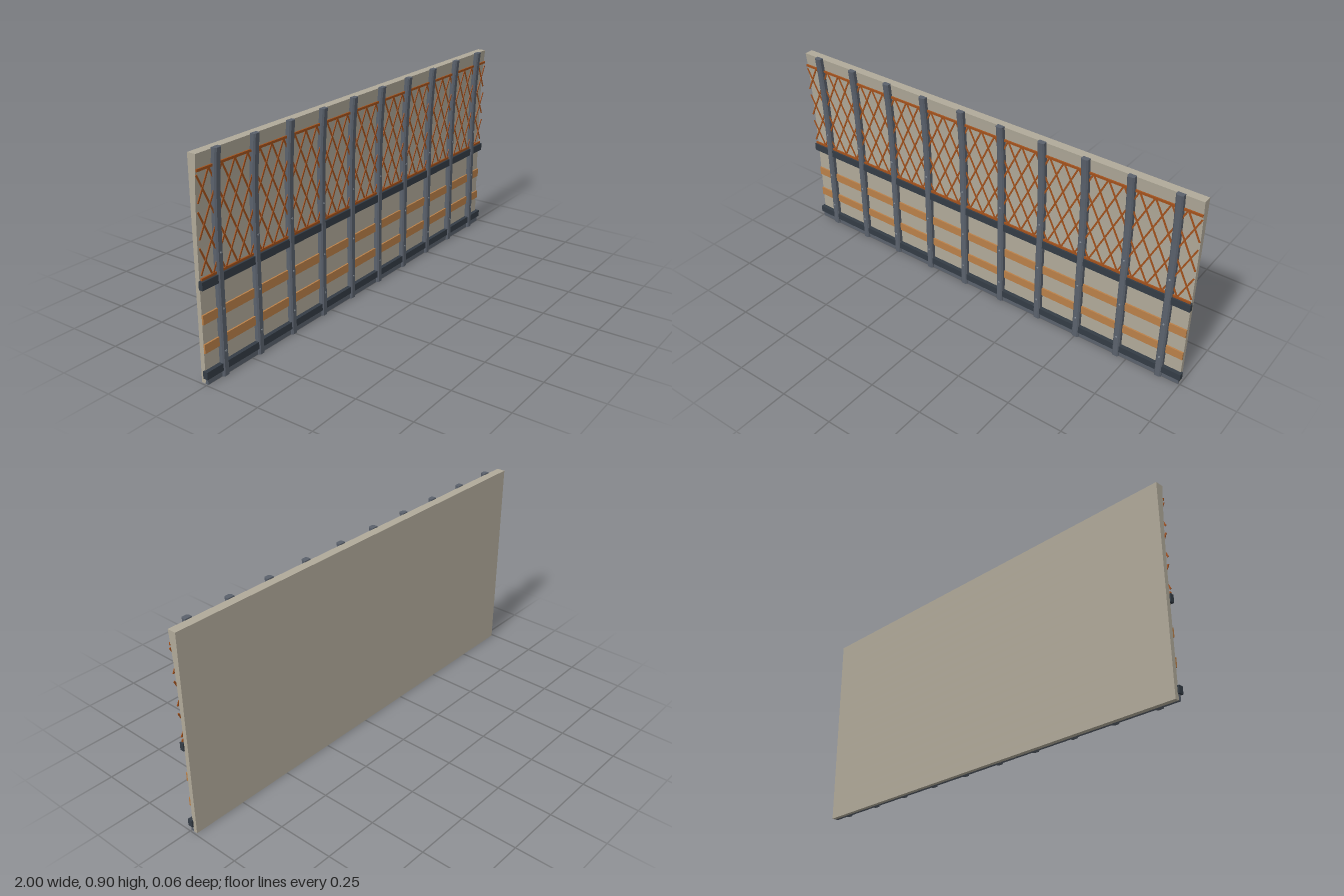
import * as THREE from 'three';

const mat = (name, color) => {
  const m = new THREE.MeshStandardMaterial({ color });
  m.name = name;
  return m;
};

// Forward lean of the upper wall at height y
const lean = (y) => (y > 0.42 ? 0.019 * ((y - 0.42) / 0.48) ** 2.6 : 0);

// Push vertices forward by the lean, optionally only those in front of zMin
function bend(geo, zMin = -1) {
  const p = geo.attributes.position;
  for (let i = 0; i < p.count; i++) {
    if (p.getZ(i) > zMin) p.setZ(i, p.getZ(i) + lean(p.getY(i)));
  }
  geo.computeVertexNormals();
  return geo;
}

// Box given by its lower and upper bounds
function block(x, y0, y1, z0, z1, segments = 1) {
  const g = new THREE.BoxGeometry(2 * x, y1 - y0, z1 - z0, 1, segments, 1);
  return g.translate(0, (y0 + y1) / 2, (z0 + z1) / 2);
}

export function createModel() {
  const stone = mat('wall plaster', 0xb0a999);
  const steel = mat('post steel', 0x5a616c);
  const dark = mat('dark rail', 0x343c45);
  const wood = mat('wood board', 0xb98049);
  const rust = mat('rust lattice', 0xa3521c);
  const boltMat = mat('bolt metal', 0x8b939c);

  const model = new THREE.Group();
  model.name = 'wallPanel';
  const add = (name, geo, material, parent = model) => {
    const mesh = new THREE.Mesh(geo, material);
    mesh.name = name;
    parent.add(mesh);
    return mesh;
  };

  // Backing wall: flat back, front face leaning forward at the top
  add('backWall', bend(block(0.992, 0, 0.9, -0.03, -0.01, 24), -0.02), stone);

  // Sill, rails and boards
  add('sill', block(0.992, 0, 0.025, -0.012, 0.002), steel);
  add('lowerRail', block(1, 0.025, 0.056, -0.014, 0.008), dark);
  add('middleRail', block(0.997, 0.387, 0.421, -0.0105, 0.008), dark);
  add('lowerBoard', block(0.992, 0.127, 0.165, -0.0105, -0.003), wood);
  add('upperBoard', block(0.992, 0.245, 0.284, -0.0105, -0.003), wood);

  // Chamfered post section, swept upward and bent
  const section = new THREE.Shape([
    [-0.016, 0.011], [0.016, 0.011], [0.016, -0.006],
    [0.01, -0.012], [-0.01, -0.012], [-0.016, -0.006],
  ].map(([x, y]) => new THREE.Vector2(x, y)));
  const postGeo = new THREE.ExtrudeGeometry(section, { depth: 0.905, steps: 24, bevelEnabled: false });
  postGeo.rotateX(-Math.PI / 2);
  bend(postGeo);
  const boltGeo = new THREE.CylinderGeometry(0.004, 0.004, 0.003, 8).rotateX(Math.PI / 2);
  for (let i = 0; i < 10; i++) {
    const post = new THREE.Group();
    post.name = `post${i + 1}`;
    post.position.x = -0.9 + i * 0.2;
    model.add(post);
    add('postBeam', postGeo, steel, post);
    for (const y of [0.105, 0.28, 0.505]) {
      add('bolt', boltGeo, boltMat, post).position.set(0, y, 0.0125 + lean(y));
    }
  }

  // Lattice: flat in its own plane, hinged at the middle rail and tilted forward
  const lattice = new THREE.Group();
  lattice.name = 'lattice';
  lattice.position.set(0, 0.428, 0);
  lattice.rotation.x = 0.02;
  model.add(lattice);
  const H = 0.412, LIMIT = 0.992, RUN = 0.2;
  add('latticeBottomBar', block(LIMIT, -0.005, 0.005, -0.003, 0.003), rust, lattice);
  add('latticeTopBar', block(LIMIT, H - 0.005, H + 0.005, -0.003, 0.003), rust, lattice);

  // Crossing slats, three per bay in each direction, clipped at the ends
  for (const dir of [1, -1]) {
    for (let k = -3; k <= 33; k++) {
      const x0 = -1 + k / 15;
      const ts = [(-LIMIT - x0) / (dir * RUN), (LIMIT - x0) / (dir * RUN)].sort((a, b) => a - b);
      const t0 = Math.max(0, ts[0]), t1 = Math.min(1, ts[1]);
      if (t1 - t0 < 0.06) continue;
      const length = (t1 - t0) * Math.hypot(RUN, H);
      const slat = add('slat', new THREE.BoxGeometry(0.007, length, 0.003), rust, lattice);
      const t = (t0 + t1) / 2;
      slat.position.set(x0 + dir * RUN * t, H * t, dir * 0.0012);
      slat.rotation.z = -dir * Math.atan2(RUN, H);
    }
  }
  return model;
}
